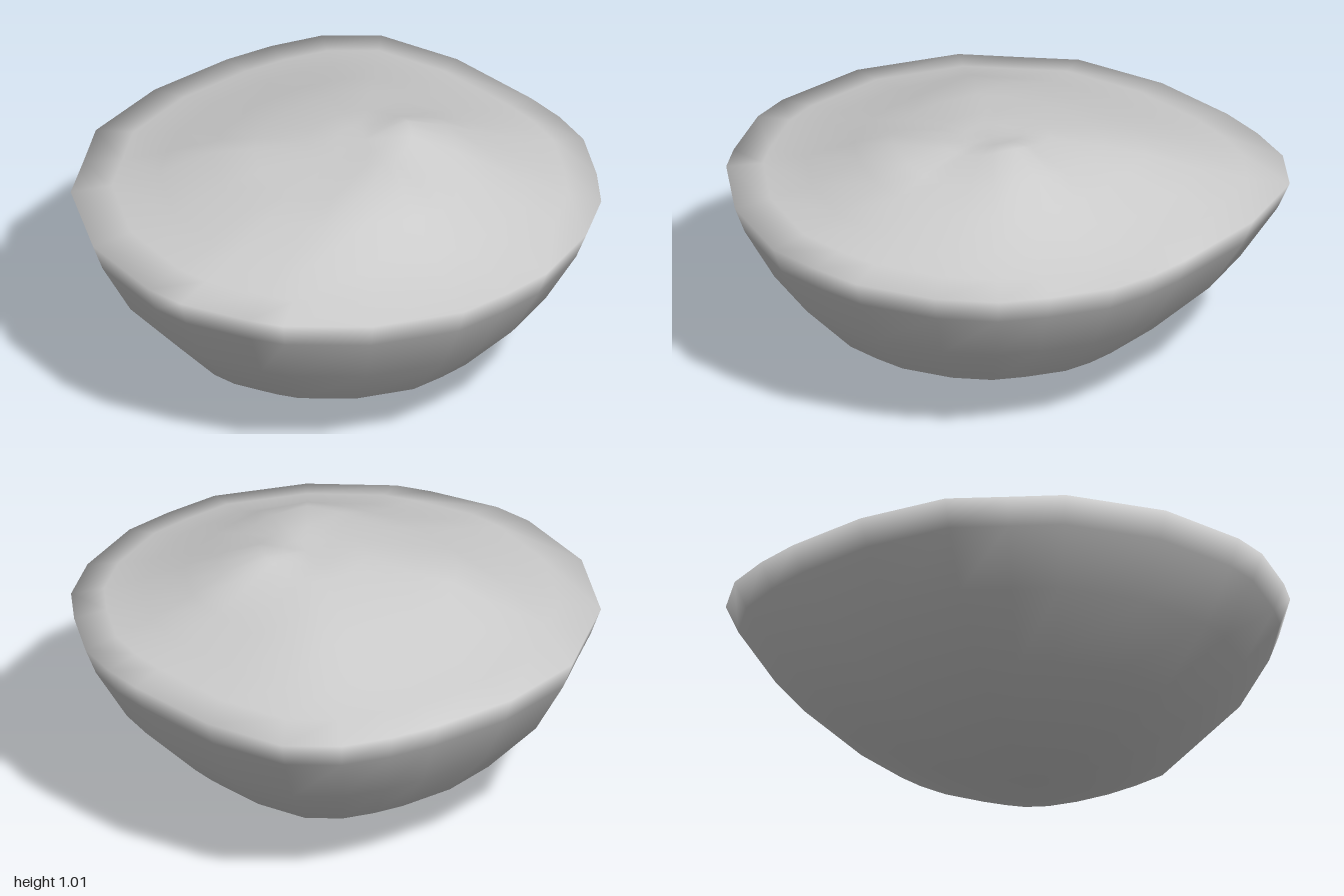
import * as THREE from 'three';

// Rim outline seen from above, [x, z]
const RIM = [
  [1, 0], [0.99, 0.17], [0.95, 0.35], [0.82, 0.57], [0.7, 0.73], [0.5, 0.87], [0.2, 0.98], [0, 0.99],
  [-0.22, 0.98], [-0.55, 0.83], [-0.8, 0.6], [-0.87, 0.48], [-0.98, 0.22], [-1, 0.06], [-0.95, -0.31],
  [-0.75, -0.66], [-0.57, -0.79], [-0.38, -0.93], [-0.02, -1], [0.33, -0.98], [0.52, -0.94],
  [0.71, -0.87], [0.88, -0.72], [0.98, -0.4],
];

// Profiles as [fraction of the way to the rim, height]
const BOWL = [[0, 0], [0.14, 0.005], [0.36, 0.065], [0.63, 0.21], [0.84, 0.43], [0.96, 0.64], [1, 0.745]];
const MOUND = [[0.86, 0.775], [0.7, 0.82], [0.52, 0.885], [0.38, 0.925], [0.2, 0.965], [0.1, 0.97], [0, 0.97]];

// Soft peaks on the mound, [x, z, height, radius]
const PEAKS = [[0.29, 0.17, 0.05, 0.16], [-0.16, 0.4, 0.05, 0.18], [-0.36, -0.33, 0.035, 0.17]];

const lift = (x, z) => PEAKS.reduce(
  (sum, [px, pz, h, r]) => sum + h * Math.exp(-((x - px) ** 2 + (z - pz) ** 2) / (r * r)), 0);

function bodyGeometry() {
  const n = RIM.length;
  const pos = [];
  const index = [];

  // Rings climb the bowl, turn over the rim and close in on the mound's centre
  const addRings = (profile, cx, cz, bumpy) => {
    for (const [t, y] of profile) {
      for (const [rx, rz] of t === 0 ? [[cx, cz]] : RIM) {
        const x = THREE.MathUtils.lerp(cx, rx, t);
        const z = THREE.MathUtils.lerp(cz, rz, t);
        pos.push(x, y + (bumpy ? lift(x, z) : 0), z);
      }
    }
  };
  addRings(BOWL, -0.04, 0, false);
  addRings(MOUND, 0.08, 0.08, true);

  const rings = BOWL.length + MOUND.length - 2;
  const top = 1 + rings * n;
  const at = (ring, j) => 1 + ring * n + (j % n);
  for (let j = 0; j < n; j++) {
    index.push(0, at(0, j), at(0, j + 1));
    for (let i = 0; i < rings - 1; i++) {
      const a = at(i, j), b = at(i, j + 1), c = at(i + 1, j), d = at(i + 1, j + 1);
      index.push(a, c, b, b, c, d);
    }
    index.push(top, at(rings - 1, j + 1), at(rings - 1, j));
  }

  const geometry = new THREE.BufferGeometry();
  geometry.setAttribute('position', new THREE.Float32BufferAttribute(pos, 3));
  geometry.setIndex(index);
  geometry.computeVertexNormals();
  return geometry;
}

export function createModel() {
  const group = new THREE.Group();
  const body = new THREE.Mesh(bodyGeometry(), new THREE.MeshStandardMaterial({ color: 0xcccccc }));
  body.name = 'moundedBowl';
  group.add(body);
  return group;
}
